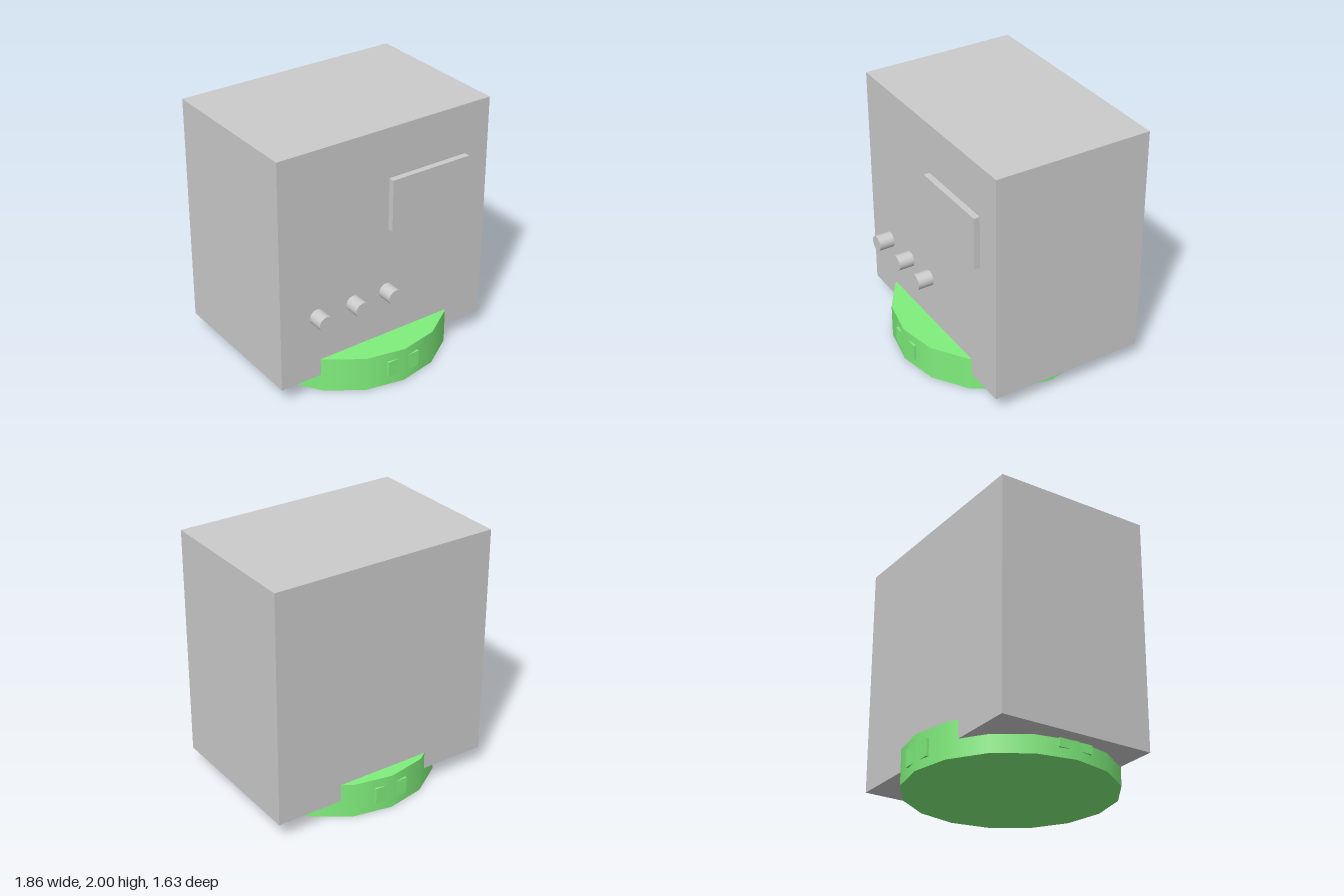
import * as THREE from 'three';

export function createModel() {
  const model = new THREE.Group();
  const grey = new THREE.MeshStandardMaterial({ color: 0xcccccc });
  const green = new THREE.MeshStandardMaterial({ color: 0x80ee7c });

  const add = (name, geometry, material, x, y, z, parent = model) => {
    const mesh = new THREE.Mesh(geometry, material);
    mesh.name = name;
    mesh.position.set(x, y, z);
    parent.add(mesh);
    return mesh;
  };

  // Housing
  add('housing', new THREE.BoxGeometry(1.855, 1.86, 1.26), grey, 0, 1.07, -0.07);

  // Raised display on the front
  add('display', new THREE.BoxGeometry(0.695, 0.42, 0.05), grey, 0.368, 1.39, 0.583);

  // Row of control knobs standing just off the front
  for (const x of [-0.622, -0.302, -0.003]) {
    const knob = add('knob', new THREE.CylinderGeometry(0.062, 0.062, 0.125, 32), grey, x, 0.675, 0.636);
    knob.rotation.x = Math.PI / 2;
  }

  // Sixteen-sided round base
  const base = new THREE.Group();
  base.name = 'base';
  model.add(base);
  add('baseDisc', new THREE.CylinderGeometry(0.813, 0.813, 0.28, 16), green, 0, 0.14, 0, base);

  // Four tabs around the base, each split by the corner of the disc
  for (let i = 0; i < 4; i++) {
    const side = new THREE.Group();
    side.name = 'baseTab';
    side.rotation.y = i * Math.PI / 2;
    add('tab', new THREE.BoxGeometry(0.28, 0.135, 0.06), green, 0, 0.14, 0.775, side);
    base.add(side);
  }
  return model;
}
